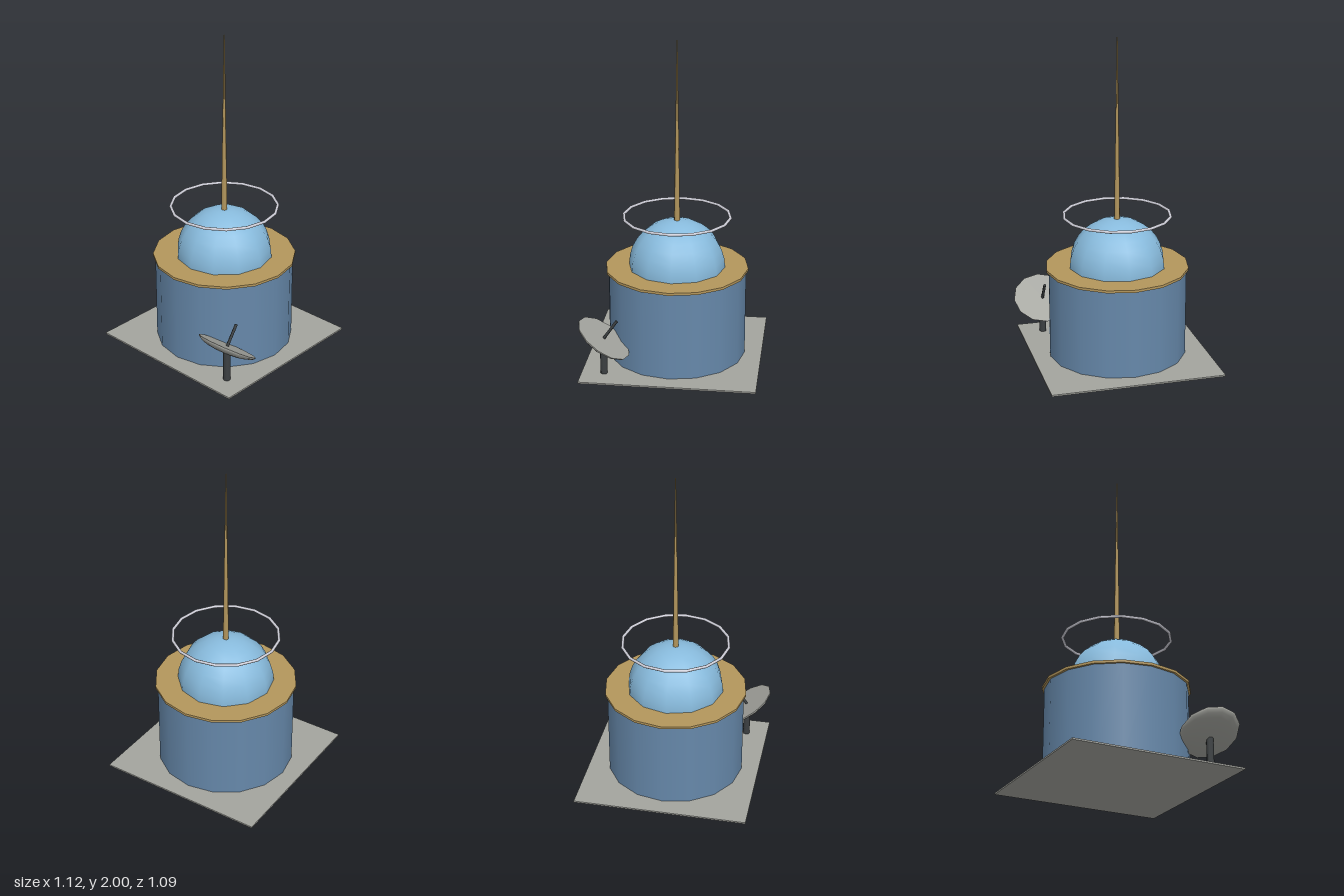
import * as THREE from 'three';

const material = (name, color) => {
  const m = new THREE.MeshStandardMaterial({ color });
  m.name = name;
  return m;
};

export function createModel() {
  const group = new THREE.Group();
  const stone = material('stone grey', 0xa3a49e);
  const blue = material('slate blue', 0x6688aa);
  const sky = material('dome blue', 0x88bbdd);
  const gold = material('old gold', 0xb3965c);
  const silver = material('silver', 0xccccd6);
  const dark = material('dark metal', 0x3c4042);

  const add = (parent, name, geometry, mat, x, y, z) => {
    const mesh = new THREE.Mesh(geometry, mat);
    mesh.name = name;
    mesh.position.set(x, y, z);
    parent.add(mesh);
    return mesh;
  };

  // Building: everything shares one vertical axis
  const building = new THREE.Group();
  building.name = 'building';
  building.position.set(-0.023, 0, -0.008);
  group.add(building);

  add(building, 'groundSlab', new THREE.BoxGeometry(1.074, 0.01, 1.074), stone, 0, 0.005, 0);
  add(building, 'drum', new THREE.CylinderGeometry(0.43, 0.43, 0.56, 16), blue, 0, 0.288, 0);
  add(building, 'roofRim', new THREE.CylinderGeometry(0.444, 0.444, 0.016, 16), gold, 0, 0.572, 0);
  add(building, 'dome',
    new THREE.SphereGeometry(0.3, 12, 8, 0, Math.PI * 2, 0, Math.PI / 2), sky, 0, 0.58, 0);
  add(building, 'mast', new THREE.CylinderGeometry(0.003, 0.018, 1.13, 8), gold, 0, 1.435, 0);
  const ring = add(building, 'halo', new THREE.TorusGeometry(0.329, 0.009, 8, 16), silver, 0, 0.904, 0);
  ring.rotation.x = Math.PI / 2;

  // Dish antenna on its post
  add(group, 'dishPost', new THREE.CylinderGeometry(0.022, 0.022, 0.21, 8), dark, 0.37, 0.107, 0.392);

  const dish = new THREE.Group();
  dish.name = 'dish';
  dish.position.set(0.37, 0.243, 0.388);
  dish.rotation.x = -0.6;
  group.add(dish);

  // Shallow bowl under a flat face
  const bowl = new THREE.SphereGeometry(0.185, 12, 6, 0, Math.PI * 2, Math.PI / 2, Math.PI / 2);
  bowl.scale(1, 0.24, 1);
  add(dish, 'dishBowl', bowl, stone, 0, 0, 0);
  const face = new THREE.CircleGeometry(0.185, 12);
  face.rotateX(-Math.PI / 2);
  add(dish, 'dishFace', face, stone, 0, 0, 0);
  add(dish, 'dishFeed', new THREE.CylinderGeometry(0.009, 0.009, 0.14, 6), dark, 0, 0.07, 0);

  return group;
}
